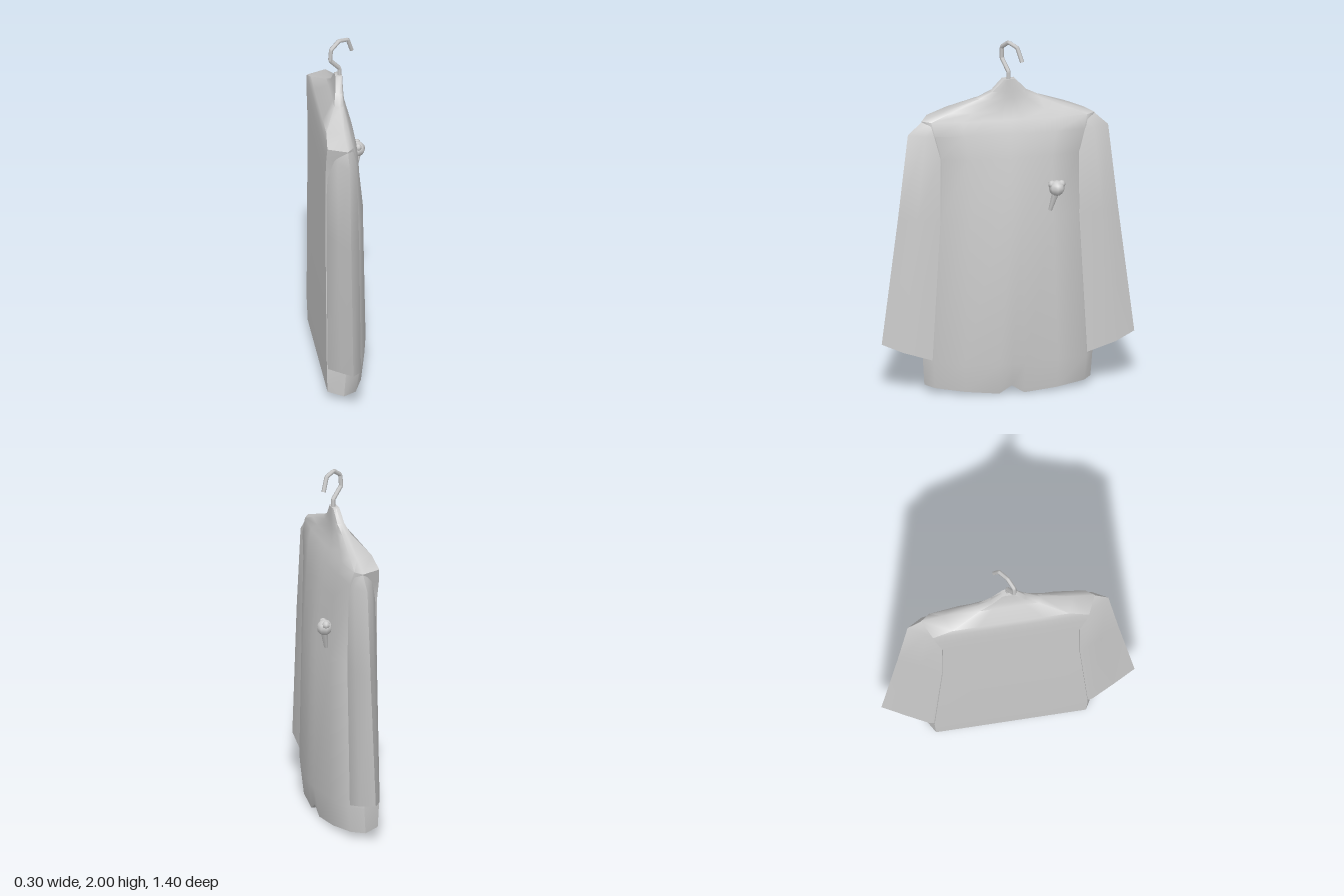
import * as THREE from 'three';
import { toCreasedNormals } from 'three/addons/utils/BufferGeometryUtils.js';

const material = new THREE.MeshStandardMaterial({ color: 0xcccccc, side: THREE.DoubleSide });

function add(group, name, geometry) {
  const mesh = new THREE.Mesh(geometry, material);
  mesh.name = name;
  group.add(mesh);
  return mesh;
}

// Closed skin over rings of [x, y, z], lowest ring first, with both ends capped
function loft(rings, crease) {
  const n = rings[0].length;
  const pos = rings.flat(2);
  const index = [];
  for (let r = 0; r < rings.length - 1; r++) {
    for (let i = 0; i < n; i++) {
      const a = r * n + i, b = r * n + (i + 1) % n;
      index.push(a, a + n, b, b, a + n, b + n);
    }
  }
  for (const r of [0, rings.length - 1]) {
    const centre = pos.length / 3;
    pos.push(...[0, 1, 2].map(k => rings[r].reduce((s, p) => s + p[k], 0) / n));
    for (let i = 0; i < n; i++) {
      const a = r * n + i, b = r * n + (i + 1) % n;
      if (r === 0) index.push(centre, a, b);
      else index.push(centre, b, a);
    }
  }
  const g = new THREE.BufferGeometry();
  g.setAttribute('position', new THREE.Float32BufferAttribute(pos, 3));
  g.setIndex(index);
  return toCreasedNormals(g, crease);
}

// One horizontal section of the coat, mirrored across z = 0
function bodyRing([y, w, centre, mid, side, tip, back]) {
  const hem = y < 0.1;
  const half = [
    [centre, hem ? 0.045 : y, 0],
    [centre * 0.85 + mid * 0.15, hem ? 0 : y, w * 0.15],
    [mid, hem ? 0.015 : y, w * 0.55],
    [side, y, w * 0.9],
    [tip, y, w],
    [back, hem ? 0.04 : y, w * 0.9],
    [back, hem ? 0.04 : y, w * 0.5],
    [back, hem ? 0.04 : y, 0],
  ];
  const mirrored = half.slice(1, -1).reverse().map(([x, yy, z]) => [x, yy, -z]);
  return [...half, ...mirrored];
}

// One section of a sleeve; the cuff slopes up towards the outside
function sleeveRing([y, inner, outer, front, back, slope], sign) {
  const at = (x, t) => [x, y + slope * t, sign * (inner + (outer - inner) * t)];
  const ring = [at(front, 0), at(front - 0.004, 0.6), at(-0.04, 1), at(back * 0.65, 0.55), at(back, 0.1), at(back, 0)];
  return sign > 0 ? ring : ring.reverse();
}

export function createModel() {
  const model = new THREE.Group();
  model.name = 'jacketOnHanger';

  // Coat body: height, half width, then x of front centre, front middle, front side, side, back
  const sections = [
    [0.03, 0.46, 0.08, 0.06, 0.01, -0.06, -0.145],
    [0.18, 0.47, 0.115, 0.078, 0.03, -0.05, -0.15],
    [1.0, 0.42, 0.1, 0.068, 0.03, -0.04, -0.152],
    [1.35, 0.42, 0.062, 0.05, 0.022, -0.04, -0.152],
    [1.48, 0.46, 0.04, 0.035, 0.015, -0.04, -0.152],
    [1.555, 0.48, 0.018, 0.015, -0.005, -0.04, -0.148],
    [1.6, 0.36, 0.0, 0.0, -0.015, -0.045, -0.14],
    [1.67, 0.18, -0.008, -0.012, -0.025, -0.045, -0.075],
    [1.71, 0.1, -0.01, -0.012, -0.02, -0.04, -0.06],
    [1.78, 0.035, -0.012, -0.012, -0.016, -0.03, -0.05],
  ];
  add(model, 'jacketBody', loft(sections.map(bodyRing), 0.9));

  // Sleeves: height, inner z, outer z, front x, back x, rise towards the outside
  const sleeve = [
    [0.19, 0.42, 0.7, 0.02, -0.145, 0.09],
    [1.0, 0.37, 0.61, 0.02, -0.147, 0],
    [1.48, 0.34, 0.555, 0.012, -0.147, 0],
    [1.555, 0.32, 0.475, -0.008, -0.14, 0],
  ];
  for (const sign of [1, -1]) {
    add(model, sign > 0 ? 'frontSleeve' : 'rearSleeve', loft(sleeve.map(s => sleeveRing(s, sign)), 0.9));
  }

  // Hanger hook: a bent rod made of straight runs
  const bends = [
    [-0.025, 1.76, 0], [-0.025, 1.82, 0], [-0.08, 1.885, 0.028], [-0.075, 1.95, 0.028],
    [-0.028, 1.988, 0], [0.026, 1.972, -0.04], [0.05, 1.895, -0.062],
  ].map(p => new THREE.Vector3(...p));
  const path = new THREE.CatmullRomCurve3(bends, false, 'catmullrom', 0);
  add(model, 'hangerHook', new THREE.TubeGeometry(path, 48, 0.012, 6, false));

  // Buttonhole flower: a bud with two side lobes on a tapering stem
  const flower = new THREE.Group();
  flower.name = 'buttonholeFlower';
  model.add(flower);
  const bud = add(flower, 'bud', new THREE.SphereGeometry(0.044, 8, 6));
  bud.position.set(0.105, 1.178, -0.245);
  for (const s of [-1, 1]) {
    const lobe = add(flower, 'petal', new THREE.SphereGeometry(0.022, 7, 5));
    lobe.position.set(0.105, 1.2, -0.245 + s * 0.026);
  }
  const top = new THREE.Vector3(0.105, 1.15, -0.238);
  const foot = new THREE.Vector3(0.085, 1.047, -0.212);
  const dir = top.clone().sub(foot);
  const stem = add(flower, 'stem', new THREE.CylinderGeometry(0.02, 0.011, dir.length(), 6));
  stem.position.copy(top).add(foot).multiplyScalar(0.5);
  stem.quaternion.setFromUnitVectors(new THREE.Vector3(0, 1, 0), dir.normalize());

  // Centre the depth of the model on the origin
  model.position.x = 0;
  return model;
}
